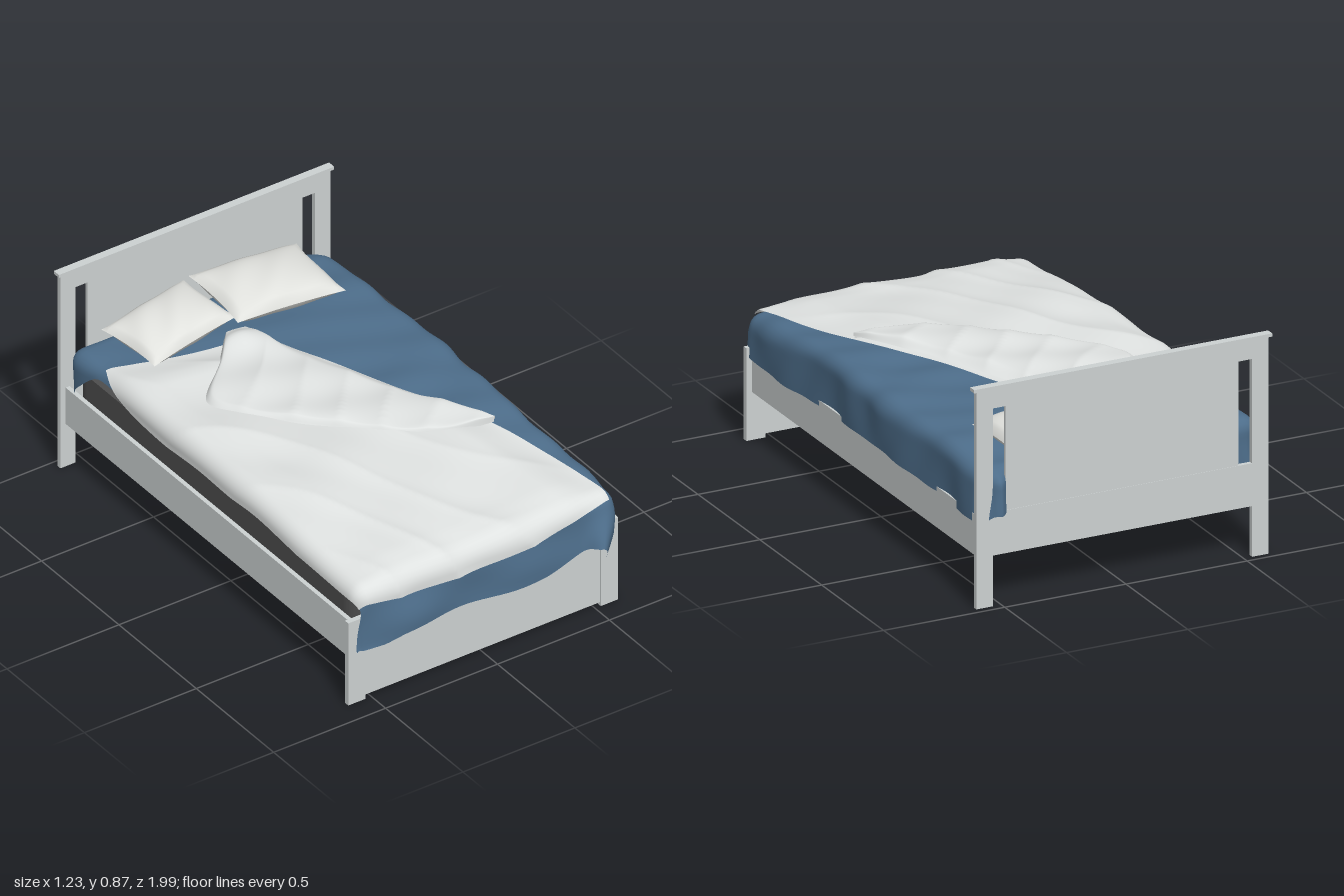
import * as THREE from 'three';
import { mergeGeometries } from 'three/addons/utils/BufferGeometryUtils.js';

const { sin, cos, min, max, abs, hypot, exp, PI } = Math;
const clamp = THREE.MathUtils.clamp, smooth = THREE.MathUtils.smoothstep;

// Smooth surface from f(u, v) -> [x, y, z]; u runs to +x, v runs to +z
function surface(nu, nv, f, flip = false) {
  const pos = [], idx = [];
  for (let j = 0; j <= nv; j++) for (let i = 0; i <= nu; i++) pos.push(...f(i / nu, j / nv));
  for (let j = 0; j < nv; j++) for (let i = 0; i < nu; i++) {
    const a = j * (nu + 1) + i, b = a + 1, c = a + nu + 1, d = c + 1;
    if (flip) idx.push(a, b, c, b, d, c);
    else idx.push(a, c, b, b, c, d);
  }
  const g = new THREE.BufferGeometry();
  g.setAttribute('position', new THREE.Float32BufferAttribute(pos, 3));
  g.setIndex(idx);
  g.computeVertexNormals();
  return g;
}

// Smooth plan curve through [x, z] points
function planCurve(pts) {
  return new THREE.SplineCurve(pts.map(p => new THREE.Vector2(p[0], p[1])));
}

// Lays flat cloth position (a, b) over the mattress, rolling down past its edges
const EDGE_X = 0.525, HEAD_Z = -0.895, FOOT_Z = 0.88, ROLL = 0.05;
function bedTop(z) {
  return 0.55 - 0.05 * smooth(z, 0.2, 0.95) - 0.02 * smooth(-z, 0.6, 0.9);
}
function drape(a, b, lift) {
  const cx = clamp(a, -EDGE_X, EDGE_X), cz = clamp(b, HEAD_Z, FOOT_Z);
  const dx = a - cx, dz = b - cz, s = hypot(dx, dz);
  const top = bedTop(cz);
  if (s < 1e-6) return [cx, top + lift, cz];
  const ang = min(s / ROLL, PI / 2);
  const out = (ROLL + lift) * sin(ang);
  const down = ROLL - (ROLL + lift) * cos(ang) + max(0, s - ROLL * PI / 2);
  return [cx + out * dx / s, top - down, cz + out * dz / s];
}

// Soft fold patterns
const fold = t => 1 - 2 * abs(sin(t)) ** 0.8;
function duvetFolds(x, z) {
  const warp = 0.6 * sin(5 * x + 2 * z) + 0.5 * sin(3 * z - 4 * x);
  return 0.007 * fold(11 * (0.8 * x - 0.5 * z) + warp)
    + 0.003 * sin(23 * (0.7 * x - 0.6 * z) + 2 * warp)
    + 0.003 * sin(9 * x + 13 * z);
}
function sheetFolds(x, z) {
  return 0.004 * sin(14 * z + 9 * x + sin(7 * z)) + 0.003 * sin(27 * z - 11 * x);
}

// Duvet outline in cloth coordinates
const duvetLeft = planCurve([[-0.55, -0.73], [-0.63, -0.5], [-0.63, 0], [-0.62, 0.5], [-0.6, 0.96]]);
const duvetRight = planCurve([[0, -0.6], [0.13, -0.28], [0.25, 0.03], [0.41, 0.35], [0.49, 0.62], [0.55, 0.93]]);
function duvetPoint(u, v) {
  const l = duvetLeft.getPointAt(v), r = duvetRight.getPointAt(v);
  const a = l.x + (r.x - l.x) * u;
  let b = l.y + (r.y - l.y) * u;
  b += 0.05 * sin(PI * u) * smooth(v, 0.75, 1) + 0.035 * sin(PI * u) * (1 - smooth(v, 0, 0.2));
  const puff = smooth(min(u * 0.7, 1 - u, v * 1.2), 0, 0.16);
  const lift = 0.01 + 0.028 * puff * (1 - 0.5 * smooth(b, 0.8, 0.95)) + duvetFolds(a, b) * min(1, 0.3 + puff);
  return drape(a, b, lift);
}

// Turned-back corner of the duvet
const flapLeft = planCurve([[-0.1, -0.62], [-0.22, -0.49], [-0.4, -0.32], [-0.36, -0.18], [-0.24, -0.04],
  [-0.08, 0.12], [0.08, 0.27], [0.23, 0.345], [0.42, 0.37]]);
const flapRight = planCurve([[0, -0.61], [0.07, -0.42], [0.135, -0.27], [0.25, 0.03], [0.34, 0.2], [0.425, 0.37]]);
function flapPoint(u, v) {
  const l = flapLeft.getPointAt(v), r = flapRight.getPointAt(v);
  const x = l.x + (r.x - l.x) * u, z = l.y + (r.y - l.y) * u;
  const body = 1 - abs(2 * u - 1) ** 6;
  const ends = smooth(min(v, 1 - v), 0, 0.06);
  const creases = 0.005 * fold(9 * x + 13 * z + sin(6 * x)) + 0.004 * sin(22 * z - 9 * x);
  const bunch = 0.025 * exp(-(((x + 0.07) / 0.07) ** 2) - ((z + 0.55) / 0.07) ** 2);
  const lift = 0.016 + 0.024 * smooth(u, 0, 0.08) * (1 - smooth(u, 0.88, 1) * 0.6)
    + body * ends * (0.016 + creases) + bunch;
  return drape(x, z, lift);
}

// Blue sheet with uneven hems and loose corners at the foot and head
const HEAD_HEM = 0.2;
function sheetPoint(u, v) {
  const z0 = HEAD_Z + v * (FOOT_Z - HEAD_Z);
  const leftHem = 0.07 + 0.15 * (1 - smooth(z0, -0.8, -0.62)) + 0.14 * smooth(z0, 0.72, 0.88);
  const rightHem = 0.24 - 0.05 * smooth(z0, 0.4, 0.85) + 0.005 * sin(9 * z0);
  const a = -EDGE_X - leftHem + u * (2 * EDGE_X + leftHem + rightHem);
  const footHem = 0.27 + 0.03 * smooth(-a, 0.35, 0.55) - 0.05 * smooth(a, 0.25, 0.5) + 0.008 * sin(8 * a);
  const b = HEAD_Z - HEAD_HEM + v * (FOOT_Z + footHem - HEAD_Z + HEAD_HEM);
  const side = smooth(a, EDGE_X, EDGE_X + 0.1);
  const p = drape(a, b, sheetFolds(a, b) + side * (0.011 + 0.008 * sin(6 * b + 3)));
  const footDrop = smooth(b, FOOT_Z + 0.06, FOOT_Z + 0.24);
  const headDrop = smooth(-b, -HEAD_Z, -HEAD_Z + 0.08);
  p[2] += footDrop * (0.012 * (1 + sin(13 * a)) + 0.045 * exp(-(((p[0] - 0.52) / 0.05) ** 2)));
  p[2] -= headDrop * 0.05 * exp(-(((p[0] - 0.51) / 0.035) ** 2));
  p[0] -= footDrop * (0.05 * smooth(a, 0.4, 0.56) + 0.025 * smooth(-a, 0.4, 0.56));
  p[2] = clamp(p[2], -1, 1);
  p[1] = max(p[1], 0.24);
  return p;
}

// Pillow with pinched corners and a few soft creases
function pillowGeometry(w, d, h) {
  const half = side => surface(28, 22, (u, v) => {
    const s = 2 * u - 1, t = 2 * v - 1;
    const bulge = ((1 - s * s) * (1 - t * t)) ** 0.45;
    const y = side * h / 2 * bulge + 0.004 * bulge * sin(7 * s + 4 * t);
    return [s * w / 2 * (1 - 0.05 * (1 - t * t)), y, t * d / 2 * (1 - 0.05 * (1 - s * s))];
  }, side < 0);
  return mergeGeometries([half(1), half(-1)]);
}

export function createModel() {
  const bed = new THREE.Group();
  bed.name = 'bed';
  const material = (name, color, side = THREE.FrontSide) => {
    const m = new THREE.MeshStandardMaterial({ color, side });
    m.name = name;
    return m;
  };
  const paint = material('grey paint', 0xccd1d1);
  const linen = material('pale linen', 0xdfe2e1, THREE.DoubleSide);
  const pillowLinen = material('pillow linen', 0xe1e2de, THREE.DoubleSide);
  const blue = material('blue cotton', 0x4d6d8a, THREE.DoubleSide);
  const dark = material('dark mattress fabric', 0x4d4d4d);

  const add = (name, geometry, mat, parent = bed) => {
    const mesh = new THREE.Mesh(geometry, mat);
    mesh.name = name;
    parent.add(mesh);
    return mesh;
  };
  // Box given by its limits on each axis
  const box = (name, x0, x1, y0, y1, z0, z1, parent) => {
    const g = new THREE.BoxGeometry(x1 - x0, y1 - y0, z1 - z0);
    g.translate((x0 + x1) / 2, (y0 + y1) / 2, (z0 + z1) / 2);
    return add(name, g, paint, parent);
  };

  // Headboard
  const head = new THREE.Group();
  head.name = 'headboard';
  bed.add(head);
  box('headCap', -0.615, 0.615, 0.86, 0.873, -0.978, -0.945, head);
  box('headTopRail', -0.535, 0.535, 0.783, 0.86, -0.97, -0.953, head);
  box('headPanel', -0.48, 0.48, 0.37, 0.783, -0.968, -0.955, head);
  box('headLowerRail', -0.535, 0.535, 0.2, 0.37, -0.97, -0.953, head);

  // Footboard
  const foot = new THREE.Group();
  foot.name = 'footboard';
  bed.add(foot);
  box('footPanel', -0.525, 0.525, 0.015, 0.36, 0.888, 0.903, foot);

  // Posts and side rails on both sides
  for (const s of [-1, 1]) {
    const tag = s > 0 ? 'left' : 'right';
    const span = (a, b) => s > 0 ? [a, b] : [-b, -a];
    box(tag + 'HeadPost', ...span(0.535, 0.603), 0, 0.86, -0.972, -0.952, head);
    box(tag + 'FootPost', ...span(0.525, 0.603), 0, 0.367, 0.886, 0.908, foot);
    box(tag + 'SideRail', ...span(0.562, 0.58), 0.19, 0.352, -0.953, 0.888);
  }

  // Mattress with rounded corners
  const W = 0.553, Z0 = -0.935, Z1 = 0.88, R = 0.08;
  const outline = new THREE.Shape();
  outline.absarc(W - R, -Z0 - R, R, 0, PI / 2);
  outline.absarc(-W + R, -Z0 - R, R, PI / 2, PI);
  outline.absarc(-W + R, -Z1 + R, R, PI, 1.5 * PI);
  outline.absarc(W - R, -Z1 + R, R, 1.5 * PI, 2 * PI);
  const mattress = new THREE.ExtrudeGeometry(outline, { depth: 0.19, bevelEnabled: false, curveSegments: 8 });
  mattress.rotateX(-PI / 2).translate(0, 0.26, 0);
  add('mattress', mattress, dark);

  // Bedding
  add('sheet', surface(90, 130, sheetPoint), blue);
  add('duvet', surface(90, 120, duvetPoint), linen);
  add('duvetFlap', surface(50, 80, flapPoint), linen);

  // Pillows
  const leftPillow = add('leftPillow', pillowGeometry(0.48, 0.33, 0.12), pillowLinen);
  leftPillow.position.set(0.205, 0.605, -0.785);
  leftPillow.rotation.set(0.06, -0.02, -0.08);
  const rightPillow = add('rightPillow', pillowGeometry(0.41, 0.29, 0.11), pillowLinen);
  rightPillow.position.set(-0.23, 0.595, -0.79);
  rightPillow.rotation.set(0.06, 0.14, 0.07);
  return bed;
}
